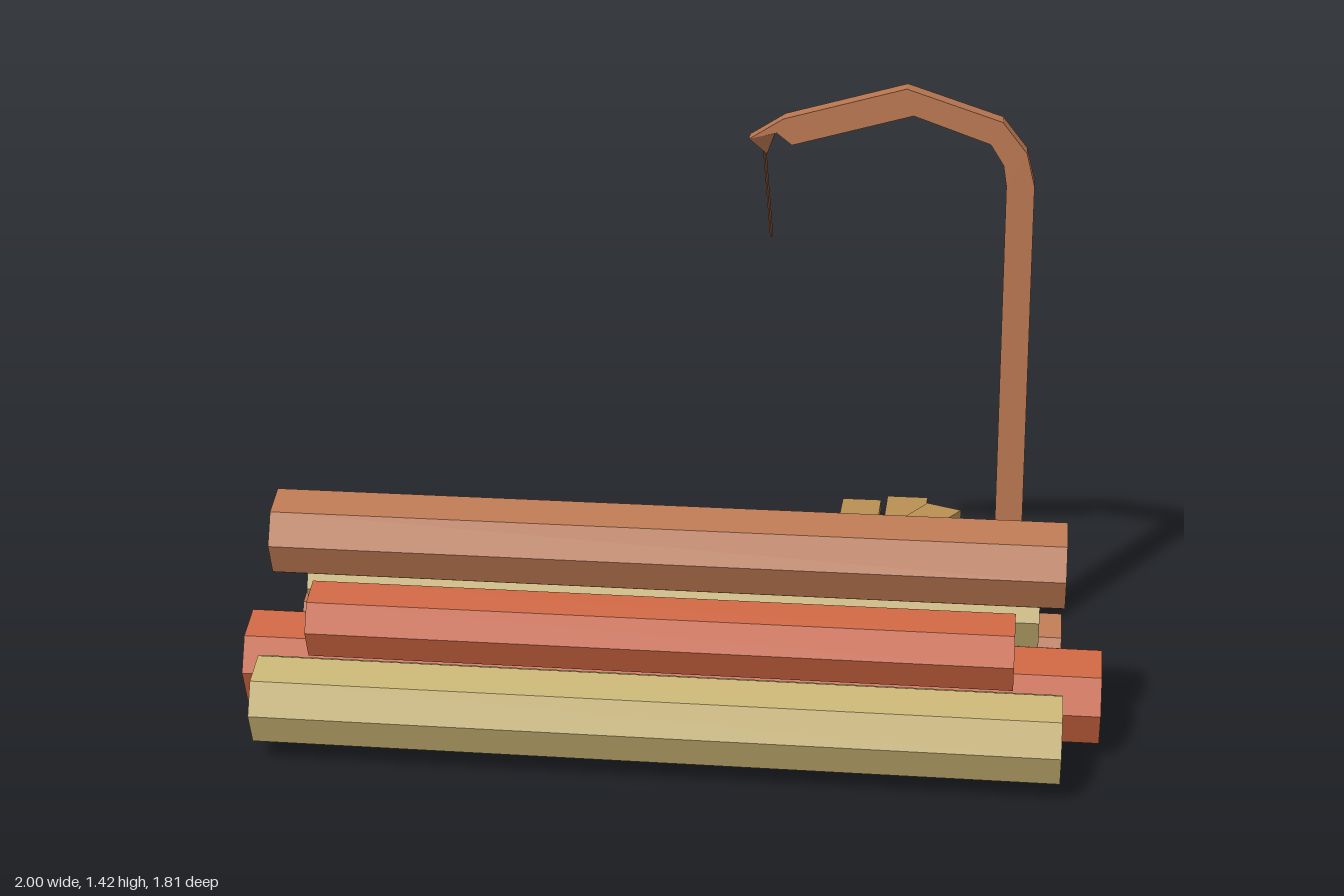
import * as THREE from 'three';

const material = (color) => new THREE.MeshStandardMaterial({ color, flatShading: true });

export function createModel() {
  const group = new THREE.Group();
  const brown = material(0xb97650);
  const red = material(0xc8623e);
  const straw = material(0xc4b070);
  const plankWood = material(0xb89052);
  const dark = material(0x6b4028);

  const add = (parent, name, geometry, mat, x = 0, y = 0, z = 0) => {
    const mesh = new THREE.Mesh(geometry, mat);
    mesh.name = name;
    mesh.position.set(x, y, z);
    parent.add(mesh);
    return mesh;
  };

  // Stacked eight-sided logs: left end, right end, y, z, radius
  const logPile = new THREE.Group();
  logPile.name = 'logPile';
  group.add(logPile);
  [
    ['bottomFrontLog', -0.92, 0.91, 0.122, 0.795, 0.105, straw],
    ['bottomMiddleLog', -1.0, 1.0, 0.122, 0.55, 0.115, red],
    ['bottomBackLog', -0.92, 0.91, 0.122, 0.317, 0.105, brown],
    ['middleFrontLog', -0.81, 0.8, 0.285, 0.697, 0.093, red],
    ['middleBackLog', -0.87, 0.855, 0.29, 0.437, 0.1, straw],
    ['topLog', -0.92, 0.91, 0.447, 0.567, 0.105, brown],
  ].forEach(([name, x0, x1, y, z, r, mat]) => {
    const geometry = new THREE.CylinderGeometry(r, r, x1 - x0, 8).rotateZ(Math.PI / 2);
    const log = add(logPile, name, geometry, mat, (x0 + x1) / 2, y, z);
    log.rotation.set(0, 0.003, -0.003); // lying slightly askew
  });

  // Loose planks on the ground, one laid across the other two
  const planks = new THREE.Group();
  planks.name = 'planks';
  group.add(planks);
  const plank = (name, width, length, x, y, z) =>
    add(planks, name, new THREE.BoxGeometry(width, 0.03, length), plankWood, x, y, z);
  plank('rightPlank', 0.108, 1.015, 0.363, 0.045, -0.363);
  plank('leftPlank', 0.113, 1.09, 0.49, 0.045, -0.36);
  plank('crossPlank', 0.105, 0.81, 0.418, 0.086, -0.363).rotation.y = -0.462;

  // Post with a bent arm, cut from one outline
  const outline = [
    [0.125, 1.29], [0.206, 1.34], [0.5, 1.42], [0.73, 1.345], [0.79, 1.27], [0.81, 1.19], [0.81, 0],
    [0.743, 0], [0.743, 1.19], [0.735, 1.24], [0.703, 1.29], [0.518, 1.355], [0.227, 1.276], [0.19, 1.305],
  ].map(([x, y]) => new THREE.Vector2(x, y));
  const post = new THREE.ExtrudeGeometry(new THREE.Shape(outline), { depth: 0.066, bevelEnabled: false });
  add(group, 'hangingPost', post, brown, 0, 0, -0.067);

  // Tapered tip under the arm end
  const tip = new THREE.ConeGeometry(0.046, 0.052, 4).rotateY(Math.PI / 4).rotateX(Math.PI);
  add(group, 'armTip', tip, brown, 0.159, 1.271, -0.034).rotation.z = 0.2;

  // Thin cord hanging from the tip
  const cord = new THREE.LineCurve3(new THREE.Vector3(0.158, 1.26, -0.034), new THREE.Vector3(0.177, 1.04, -0.034));
  add(group, 'cord', new THREE.TubeGeometry(cord, 1, 0.004, 4), dark);

  return group;
}
